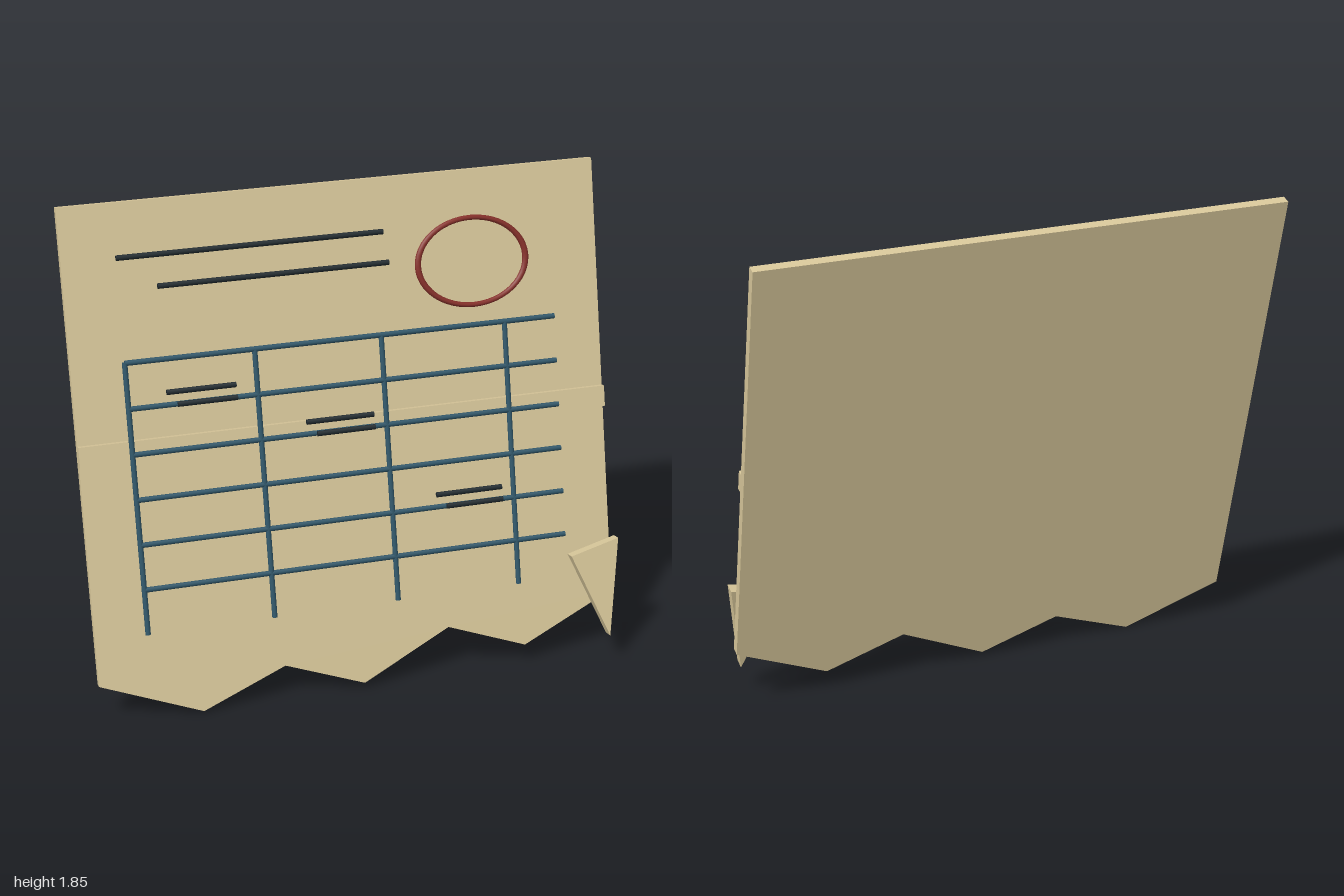
import * as THREE from 'three';

const TILT = 0.245;
const SIN = Math.sin(TILT), COS = Math.cos(TILT);
// height along the leaning sheet for a point at world height y and depth v
const along = (y, v) => (y - v * SIN) / COS;

export function createModel() {
  const mat = (name, color) => new THREE.MeshStandardMaterial({ name, color });
  const paper = mat('parchment', 0xd8c79a);
  const blue = mat('slateBlue', 0x2f5669);
  const ink = mat('darkInk', 0x1f292e);
  const red = mat('sealRed', 0x86302a);

  const model = new THREE.Group();
  model.name = 'leaningParchment';
  const sheet = new THREE.Group();
  sheet.name = 'sheetGroup';
  sheet.rotation.x = -TILT;
  model.add(sheet);

  const add = (name, geometry, material, x = 0, u = 0, v = 0) => {
    const mesh = new THREE.Mesh(geometry, material);
    mesh.name = name;
    mesh.position.set(x, u, v);
    sheet.add(mesh);
    return mesh;
  };
  // flat slab whose front outline is given as [x, world height]
  const slab = (name, points, back, front) => {
    const shape = new THREE.Shape(points.map(([x, y]) => new THREE.Vector2(x, along(y, front))));
    const geometry = new THREE.ExtrudeGeometry(shape, { depth: front - back, bevelEnabled: false });
    return add(name, geometry, paper, 0, 0, back);
  };
  // round rod lying across the sheet
  const rodAcross = (name, x0, x1, y, v, r, material) => {
    const geometry = new THREE.CylinderGeometry(r, r, x1 - x0, 8).rotateZ(Math.PI / 2);
    return add(name, geometry, material, (x0 + x1) / 2, along(y, v), v);
  };

  // sheet with a torn lower edge
  slab('parchmentSheet', [
    [-1, 1.86], [-1, 0.16], [-0.62, 0.015], [-0.3, 0.14], [0, 0.032],
    [0.34, 0.197], [0.64, 0.088], [1, 0.252], [1, 1.86],
  ], 0.173, 0.2085);

  // raised fold across the middle
  add('foldRidge', new THREE.BoxGeometry(2, 0.078, 0.03), paper, 0, along(0.998, 0.2325), 0.2175);

  // loose curled corner
  slab('foldedCorner', [[0.81, 0.45], [0.95, 0.13], [1, 0.497]], 0.264, 0.309);

  // grid of rods
  const gridV = 0.246;
  for (let i = 0; i < 6; i++) {
    rodAcross('gridRow', -0.81, 0.81, 1.318 - i * 0.162, gridV, 0.01, blue);
  }
  const low = along(0.345, gridV), high = along(1.32, gridV);
  for (let i = 0; i < 4; i++) {
    add('gridColumn', new THREE.CylinderGeometry(0.01, 0.01, high - low, 8), blue,
      -0.81 + i * 0.475, (low + high) / 2, gridV);
  }

  // heading strokes
  rodAcross('headingStroke', -0.81, 0.17, 1.685, 0.252, 0.01, ink);
  rodAcross('headingStroke', -0.67, 0.185, 1.575, 0.252, 0.01, ink);

  // paired short entries inside the grid
  for (const [x, y] of [[-0.67, 1.205], [-0.165, 1.042], [0.31, 0.72]]) {
    rodAcross('entryStroke', x, x + 0.255, y, 0.257, 0.01, ink);
    rodAcross('entryStroke', x + 0.037, x + 0.257, y - 0.045, 0.259, 0.01, ink);
  }

  // oval seal ring
  const ring = add('sealRing', new THREE.TorusGeometry(0.207, 0.012, 8, 48), red,
    0.5, along(1.55, 0.255), 0.255);
  ring.scale.y = 0.775;

  return model;
}
